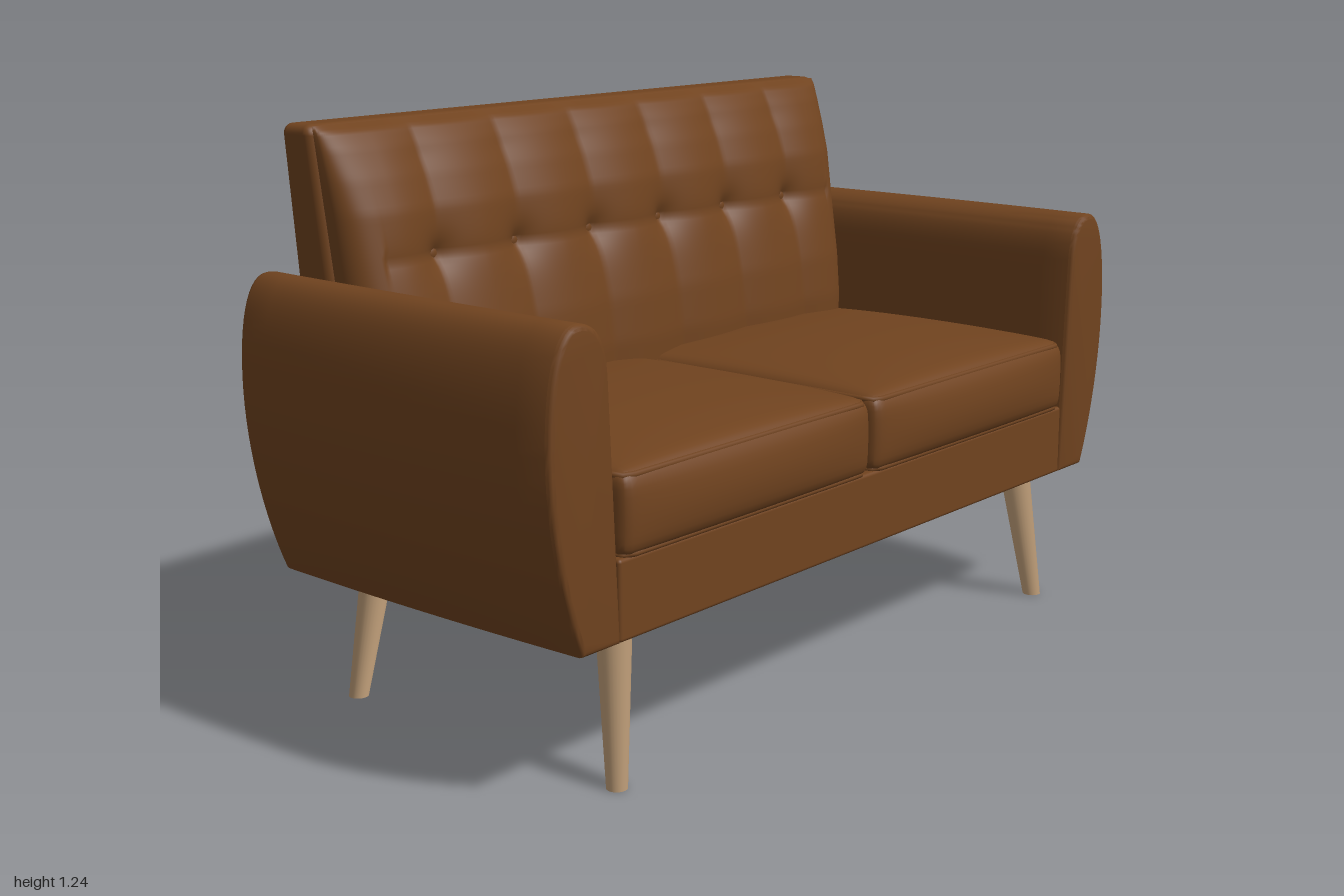
import * as THREE from 'three';
import { mergeVertices, toCreasedNormals } from 'three/addons/utils/BufferGeometryUtils.js';
import { RoundedBoxGeometry } from 'three/addons/geometries/RoundedBoxGeometry.js';

const leather = new THREE.MeshStandardMaterial({ color: 0x70431f });
leather.name = 'brown leather';
const wood = new THREE.MeshStandardMaterial({ color: 0xc4a27c });
wood.name = 'pale wood';

const BOTTOM = 0.315, TOP = 1.243;
const SEAMS = [-0.595, -0.357, -0.119, 0.119, 0.357, 0.595];
const TUFT_Y = 0.96;

// Leaning planes of the backrest, and its half width at a height
const backX = (y) => -0.46 + (TOP - y) * 0.034;
const panelX = (y) => -0.34 + (0.945 - y) * 0.1;
const halfWidth = (y) => 0.797 + (y - BOTTOM) * 0.052;

function mesh(name, geometry, material) {
  const m = new THREE.Mesh(geometry, material);
  m.name = name;
  return m;
}

// Move every vertex by a rule
function deform(geometry, rule) {
  const p = geometry.attributes.position, v = new THREE.Vector3();
  for (let i = 0; i < p.count; i++) {
    v.fromBufferAttribute(p, i);
    rule(v);
    p.setXYZ(i, v.x, v.y, v.z);
  }
  return geometry;
}

function smooth(geometry) {
  geometry.deleteAttribute('uv');
  geometry.deleteAttribute('normal');
  const g = mergeVertices(geometry, 1e-5);
  g.computeVertexNormals();
  return g;
}

// Armrest: rounded, tapering section swept front to back, bowed on the outside
function createArm(side) {
  const s = -side, length = 0.865, bevel = 0.012;
  const shape = new THREE.Shape();
  shape.moveTo(s * 0.8, BOTTOM);
  shape.lineTo(s * 0.825, 0.84);
  shape.bezierCurveTo(s * 0.83, 0.91, s * 0.855, 0.945, s * 0.905, 0.945);
  shape.bezierCurveTo(s * 0.96, 0.945, s * 0.985, 0.84, s * 0.985, 0.71);
  shape.bezierCurveTo(s * 0.985, 0.56, s * 0.945, 0.41, s * 0.905, BOTTOM);
  shape.closePath();
  const g = new THREE.ExtrudeGeometry(shape, {
    depth: length - 2 * bevel, steps: 12, curveSegments: 14,
    bevelSize: bevel, bevelThickness: bevel, bevelOffset: -bevel, bevelSegments: 3,
  });
  g.rotateY(Math.PI / 2);
  g.translate(-0.43 + bevel, 0, 0);
  deform(g, (v) => {
    const outer = THREE.MathUtils.smoothstep(Math.abs(v.z), 0.83, 0.96);
    v.z += side * 0.015 * outer * (1 - (v.x / 0.44) ** 2);
    if (v.x < 0) v.x += (v.x / 0.43) * 0.022 * (v.y - BOTTOM) / 0.63;
  });
  return mesh(side > 0 ? 'leftArm' : 'rightArm', toCreasedNormals(g, 0.6), leather);
}

// Rear panel of the backrest, leaning and widening upwards
function createBackPanel() {
  const h = TOP - BOTTOM;
  const g = new RoundedBoxGeometry(0.1, h, 2, 4, 0.022);
  deform(g, (v) => {
    const y = v.y + BOTTOM + h / 2;
    const t = v.x / 0.1 + 0.5;
    const inset = 1 - Math.abs(v.z);
    v.z = Math.sign(v.z) * (halfWidth(y) - inset);
    v.x = THREE.MathUtils.lerp(backX(y), panelX(y), t);
    v.y = y;
  });
  return mesh('backPanel', smooth(g), leather);
}

// Thickness of the tufted cushion from top to bottom
const PROFILE = [[1.24, 0], [1.225, 0.03], [1.19, 0.05], [1.13, 0.074], [1.06, 0.094],
  [0.945, 0.106], [0.8, 0.122], [0.7, 0.124], [0.55, 0.11]];
function thickness(y) {
  for (let i = 1; i < PROFILE.length; i++) {
    const [y0, t0] = PROFILE[i - 1], [y1, t1] = PROFILE[i];
    if (y >= y1) return THREE.MathUtils.lerp(t0, t1, (y0 - y) / (y0 - y1));
  }
  return 0.11;
}

// Front surface of the tufted cushion: seams, cross seam and button dimples
function tuftedX(y, z) {
  const u = Math.min(1, Math.abs(z) / (halfWidth(y) - 0.012));
  const edge = (1 - u ** 14) ** 0.4;
  const d = Math.min(...SEAMS.map((s) => Math.abs(z - s)));
  const dy = Math.abs(y - TUFT_Y);
  const seam = 0.016 * Math.max(0, 1 - d / 0.118) ** 2;
  const cross = Math.abs(z) < 0.75 ? 0.008 * Math.exp(-dy / 0.03) : 0;
  const dimple = 0.03 * Math.exp(-Math.hypot(d, dy) / 0.035);
  const t = thickness(y);
  return panelX(y) + edge * (t - (seam + cross + dimple) * Math.min(1, t / 0.06));
}

function createTuftedCushion() {
  const group = new THREE.Group();
  group.name = 'tuftedBackCushion';
  const g = new THREE.PlaneGeometry(2, 1, 200, 60);
  g.rotateY(Math.PI / 2);
  deform(g, (v) => {
    const y = 1.24 - 0.69 * (0.5 - v.y) ** 1.3;
    const s = Math.sign(v.z) * (1 - Math.max(0, 1 - Math.abs(v.z)) ** 1.3);
    v.set(0, y, s * (halfWidth(y) - 0.012));
    v.x = tuftedX(v.y, v.z);
  });
  group.add(mesh('tuftedSurface', smooth(g), leather));
  for (const z of SEAMS) {
    const button = mesh('button', new THREE.SphereGeometry(0.015, 16, 10), leather);
    button.scale.x = 0.5;
    button.position.set(tuftedX(TUFT_Y, z) + 0.004, TUFT_Y, z);
    group.add(button);
  }
  return group;
}

// Seat cushion: soft box with a crowned top, bulging front and piped edges
function createSeatCushion(side) {
  const group = new THREE.Group();
  group.name = side > 0 ? 'leftSeatCushion' : 'rightSeatCushion';
  const half = new THREE.Vector3(0.359, 0.085, 0.396), r = 0.03;
  const inner = half.clone().subScalar(r), core = new THREE.Vector3();
  const bulge = (v) => {
    const a = Math.max(0, 1 - (v.x / half.x) ** 2), b = Math.max(0, 1 - (v.z / half.z) ** 2);
    if (v.y > 0) v.y += 0.036 * Math.sqrt(a * b) * (v.y / half.y);
    const c = Math.max(0, 1 - (v.y / half.y) ** 2);
    if (v.x > 0) v.x += 0.018 * c * Math.sqrt(b) * (v.x / half.x);
  };
  const g = new THREE.BoxGeometry(2, 2, 2, 28, 14, 28);
  deform(g, (v) => {
    for (const k of ['x', 'y', 'z']) v[k] = Math.sin(v[k] * Math.PI / 2) * half[k];
    core.copy(v).clamp(inner.clone().negate(), inner);
    v.sub(core).setLength(r).add(core);
    bulge(v);
  });
  group.add(mesh('seatPad', smooth(g), leather));

  // Piping along the upper and lower edges
  const px = half.x - 0.009, pz = half.z - 0.009, c = 0.03;
  const path = new THREE.CurvePath();
  const corners = [[1, 1], [-1, 1], [-1, -1], [1, -1]];
  const points = [];
  corners.forEach(([sx, sz], i) => {
    const a = new THREE.Vector3(sx * px, 0, sz * (pz - c));
    const b = new THREE.Vector3(sx * (px - c), 0, sz * pz);
    const corner = new THREE.Vector3(sx * px, 0, sz * pz);
    const [from, to] = i % 2 ? [b, a] : [a, b];
    if (points.length) path.add(new THREE.LineCurve3(points[points.length - 1], from));
    path.add(new THREE.QuadraticBezierCurve3(from, corner, to));
    points.push(from, to);
  });
  path.add(new THREE.LineCurve3(points[7], points[0]));
  for (const y of [-0.077, 0.077]) {
    const pipe = mesh('piping', new THREE.TubeGeometry(path, 120, 0.007, 8, true), leather);
    pipe.position.y = y;
    group.add(pipe);
  }
  group.position.set(0.079, 0.56, side * 0.4);
  return group;
}

// Tapered leg splayed outwards
function createLeg(topX, footX, side) {
  const h = BOTTOM + 0.01;
  const g = new THREE.CylinderGeometry(0.037, 0.0215, h, 28);
  deform(g, (v) => {
    const t = v.y / h + 0.5;
    v.x += THREE.MathUtils.lerp(footX, topX, t);
    v.z += side * THREE.MathUtils.lerp(0.768, 0.73, t);
    v.y += h / 2;
  });
  return mesh(topX > 0 ? 'frontLeg' : 'backLeg', g, wood);
}

export function createModel() {
  const sofa = new THREE.Group();
  sofa.name = 'sofa';
  const base = mesh('base', new RoundedBoxGeometry(0.855, 0.165, 1.605, 3, 0.008), leather);
  base.position.set(0.004, BOTTOM + 0.0825, 0);
  sofa.add(base, createBackPanel(), createTuftedCushion());
  for (const side of [1, -1]) {
    sofa.add(createArm(side), createSeatCushion(side));
    sofa.add(createLeg(0.348, 0.387, side), createLeg(-0.333, -0.374, side));
  }
  return sofa;
}
